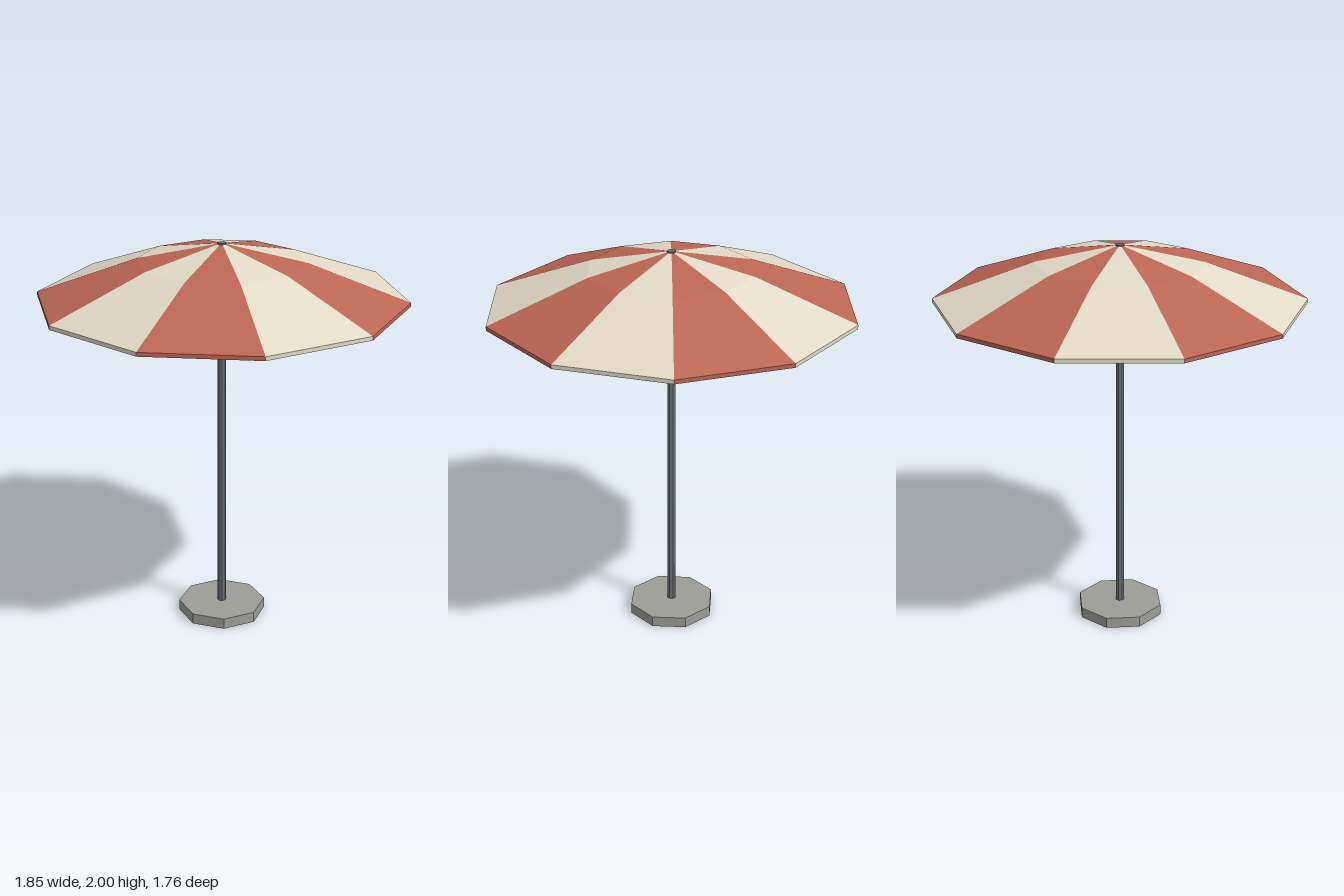
import * as THREE from 'three';

const SIDES = 10;
const STEP = (Math.PI * 2) / SIDES;

function material(color) {
  return new THREE.MeshStandardMaterial({ color, flatShading: true });
}

function addMesh(parent, name, geometry, mat) {
  const mesh = new THREE.Mesh(geometry, mat);
  mesh.name = name;
  parent.add(mesh);
  return mesh;
}

// Thin rod between two points
function rod(parent, name, from, to, radius, mat) {
  const dir = to.clone().sub(from);
  const mesh = addMesh(parent, name, new THREE.CylinderGeometry(radius, radius, dir.length(), 6), mat);
  mesh.position.copy(from).add(to).multiplyScalar(0.5);
  mesh.quaternion.setFromUnitVectors(new THREE.Vector3(0, 1, 0), dir.normalize());
}

export function createModel() {
  const model = new THREE.Group();
  model.name = 'parasol';

  const cream = material(0xe2dac6);
  const red = material(0xbc6654);
  const metal = material(0x6c7278);
  const stone = material(0x9c9d97);

  // Octagonal foot and pole
  const base = addMesh(model, 'base', new THREE.CylinderGeometry(0.225, 0.225, 0.056, 8), stone);
  base.position.y = 0.028;
  const pole = addMesh(model, 'pole', new THREE.CylinderGeometry(0.022, 0.022, 1.98, 8), metal);
  pole.position.y = 1.01;

  // Canopy: thick cloth wedges in alternating colours, underside first
  const canopy = new THREE.Group();
  canopy.name = 'canopy';
  model.add(canopy);
  const profile = [
    [0, 1.978], [0.42, 1.89], [0.923, 1.705],
    [0.923, 1.725], [0.42, 1.91], [0, 1.998],
  ].map(([r, y]) => new THREE.Vector2(r, y));
  for (let i = 0; i < SIDES; i++) {
    const wedge = new THREE.LatheGeometry(profile, 1, (i - 0.5) * STEP, STEP);
    addMesh(canopy, 'canopyPanel' + (i + 1), wedge, i % 2 ? red : cream);
  }

  // Straight ribs under every seam
  const ribs = new THREE.Group();
  ribs.name = 'ribs';
  model.add(ribs);
  for (let i = 0; i < SIDES; i++) {
    const a = i * STEP;
    const at = (r, y) => new THREE.Vector3(r * Math.cos(a), y, r * Math.sin(a));
    rod(ribs, 'rib' + (i + 1), at(0.015, 1.955), at(0.9, 1.707), 0.009, metal);
  }

  return model;
}
